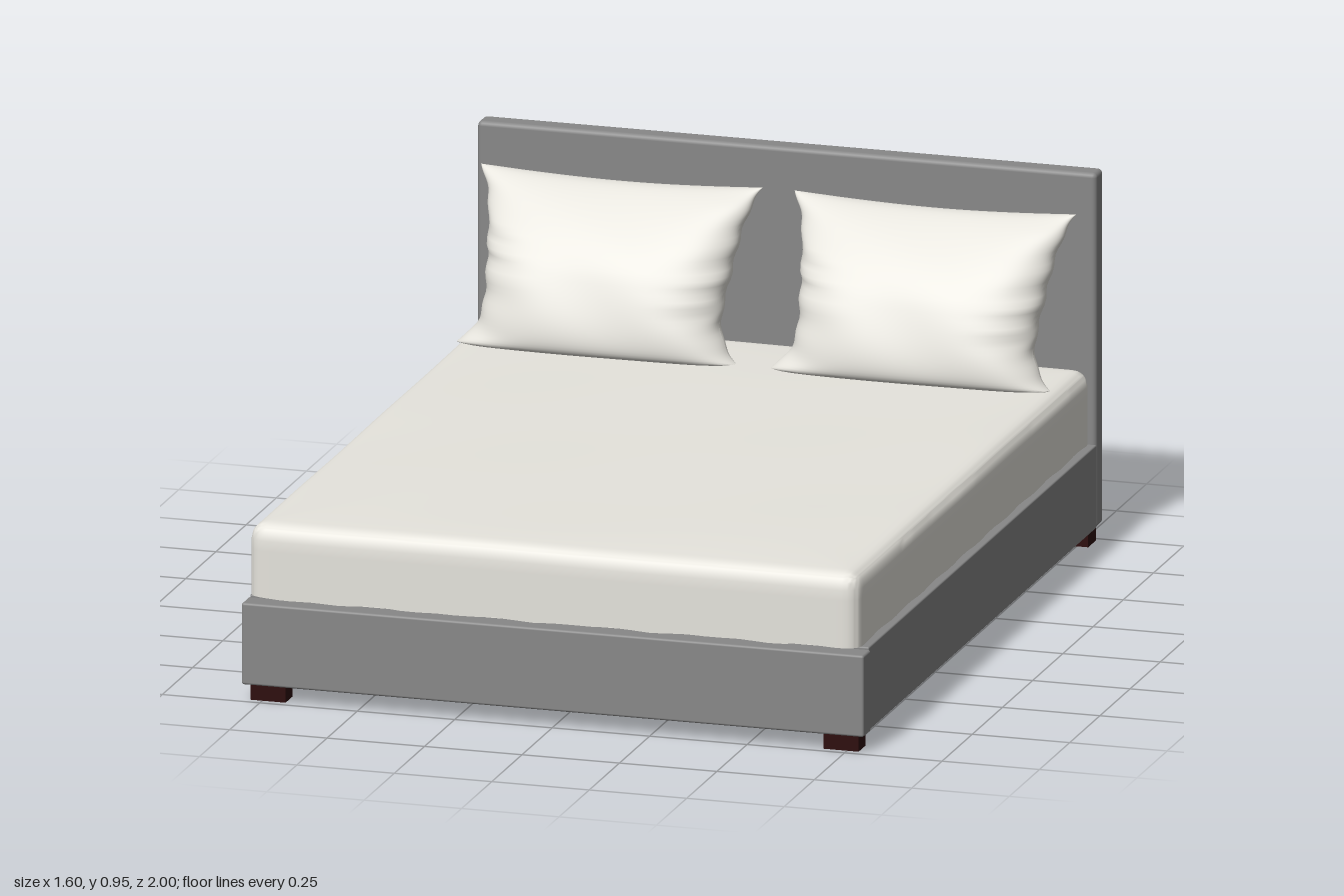
import * as THREE from 'three';
import { mergeVertices, toCreasedNormals } from 'three/addons/utils/BufferGeometryUtils.js';
import { RoundedBoxGeometry } from 'three/addons/geometries/RoundedBoxGeometry.js';

const mat = (name, color, side = THREE.FrontSide) => {
  const m = new THREE.MeshStandardMaterial({ color, side });
  m.name = name;
  return m;
};

// Box given by its min/max corners, optionally with rounded edges
function block(name, material, [x0, x1], [y0, y1], [z0, z1], radius = 0) {
  const size = [x1 - x0, y1 - y0, z1 - z0];
  const geo = radius ? new RoundedBoxGeometry(...size, 3, radius) : new THREE.BoxGeometry(...size);
  const mesh = new THREE.Mesh(geo, material);
  mesh.name = name;
  mesh.position.set((x0 + x1) / 2, (y0 + y1) / 2, (z0 + z1) / 2);
  return mesh;
}

// Crowds evenly spaced grid lines towards the ends of [-1, 1]
const ease = (t) => Math.sin((t * Math.PI) / 2);

// Mattress with rounded edges, a crowned soft top and a slightly rippled hem
function mattressGeometry(hx, hz, y0, y1, r) {
  let geo = new THREE.BoxGeometry(2, 2, 2, 48, 10, 56);
  geo.deleteAttribute('uv');
  geo.deleteAttribute('normal');
  geo = mergeVertices(geo);
  const pos = geo.attributes.position;
  const p = new THREE.Vector3();
  const core = new THREE.Vector3();
  for (let i = 0; i < pos.count; i++) {
    p.fromBufferAttribute(pos, i);
    const bottom = p.y < -0.999;
    const up = (ease(p.y) + 1) / 2;
    p.set(ease(p.x) * hx, y0 + up * (y1 - y0), ease(p.z) * hz);
    core.set(
      THREE.MathUtils.clamp(p.x, r - hx, hx - r),
      Math.min(p.y, y1 - r),
      THREE.MathUtils.clamp(p.z, r - hz, hz - r)
    );
    p.sub(core);
    if (p.length() > r) p.setLength(r);
    p.add(core);
    const rim = Math.max(Math.abs(p.x) / hx, Math.abs(p.z) / hz);
    p.y -= up * 0.007 * rim ** 10;
    p.y += up * 0.0015 * Math.sin(p.x * 7 + p.z * 3) * Math.cos(p.z * 6 - p.x * 2);
    if (bottom) p.y += 0.003 * Math.sin(p.x * 31) * Math.cos(p.z * 27 + p.x * 9);
    pos.setXYZ(i, p.x, p.y, p.z);
  }
  return toCreasedNormals(geo, 0.9);
}

// One half of a plump leaning pillow: side = 1 is the front, -1 the back
function pillowGeometry(side) {
  const geo = new THREE.PlaneGeometry(2, 2, 56, 40);
  const pos = geo.attributes.position;
  for (let i = 0; i < pos.count; i++) {
    const u = ease(pos.getX(i)) * side;
    const v = ease(pos.getY(i));
    const edge = Math.abs(u) ** 5;
    // Full, flat bottom and a tapering top
    const lengthwise = v < 0 ? Math.max(0, 1 - v ** 6) ** 0.2 : Math.max(0, 1 - v * v) ** 0.4;
    const across = Math.sqrt(Math.max(0, 1 - u ** 4));
    // Gathered folds near the ends, gentle swells in the middle
    const folds = 0.13 * edge * Math.sin(v * 13 + 3 * Math.sin(v * 5 + u)) + 0.02 * Math.sin(u * 6 + v * 4);
    const plump = (side > 0 ? 0.122 : 0.108) * (1 - 0.3 * v * v);
    const thick = plump * lengthwise * across * (1 + folds);
    // Ends drawn in, most of all below the middle
    const pinch = 0.14 * (1 - v ** 4) * (1 - 0.45 * v);
    const x = u * 0.36 * (1 - pinch) + Math.sign(u) * edge * 0.003 * Math.sin(v * 17 + u * 2);
    const sag = v > 0 ? 0.08 * (1 - u * u) : 0;
    const y = 0.652 + v * 0.197 * (1 - sag);
    const z = -0.805 - v * 0.105 + side * thick;
    pos.setXYZ(i, x, y, Math.max(z, -0.938));
  }
  geo.computeVertexNormals();
  return geo;
}

export function createModel() {
  const fabric = mat('grey upholstery', 0x888888);
  const linen = mat('off-white linen', 0xe6e4dd, THREE.DoubleSide);
  const wood = mat('dark red-brown', 0x2d0b0b);
  const bed = new THREE.Group();
  bed.name = 'bed';

  // Upholstered frame
  bed.add(
    block('headboard', fabric, [-0.794, 0.794], [0.042, 0.947], [-1, -0.94], 0.012),
    block('frontRail', fabric, [-0.798, 0.798], [0.042, 0.25], [0.937, 0.998], 0.006)
  );
  for (const s of [-1, 1]) {
    const span = (a, b) => (s > 0 ? [a, b] : [-b, -a]);
    bed.add(
      block('sideRail', fabric, span(0.742, 0.794), [0.043, 0.256], [-0.945, 0.94], 0.004),
      // Corner feet
      block('frontFoot', wood, span(0.69, 0.78), [0, 0.044], [0.922, 0.98]),
      block('backFoot', wood, span(0.69, 0.78), [0, 0.044], [-0.983, -0.92])
    );
  }

  // Centre beam with its support legs on alternate sides
  for (const x of [-0.036, -0.019]) {
    bed.add(block('centreBeam', wood, [x - 0.006, x + 0.006], [0.16, 0.186], [-0.945, 0.937]));
  }
  bed.add(
    block('beamBracket', fabric, [-0.07, 0.015], [0.135, 0.195], [0.918, 0.938]),
    block('supportLeg', wood, [-0.011, 0.015], [0.022, 0.202], [0.285, 0.343]),
    block('supportLeg', wood, [-0.07, -0.042], [0.022, 0.202], [-0.337, -0.28])
  );

  // Base panel, slab under the mattress, and mattress
  bed.add(
    block('basePanel', linen, [-0.743, 0.743], [0.2, 0.249], [-0.942, 0.938]),
    block('baseSlab', fabric, [-0.725, 0.725], [0.249, 0.272], [-0.94, 0.93])
  );
  const mattress = new THREE.Mesh(mattressGeometry(0.782, 0.968, 0.265, 0.457, 0.038), linen);
  mattress.name = 'mattress';
  mattress.position.z = 0.028;
  bed.add(mattress);

  // Pair of pillows
  for (const [name, x] of [['rightPillow', -0.412], ['leftPillow', 0.392]]) {
    const pillow = new THREE.Group();
    pillow.name = name;
    for (const side of [1, -1]) {
      const half = new THREE.Mesh(pillowGeometry(side), linen);
      half.name = side > 0 ? 'pillowFront' : 'pillowBack';
      pillow.add(half);
    }
    pillow.position.x = x;
    bed.add(pillow);
  }
  return bed;
}
